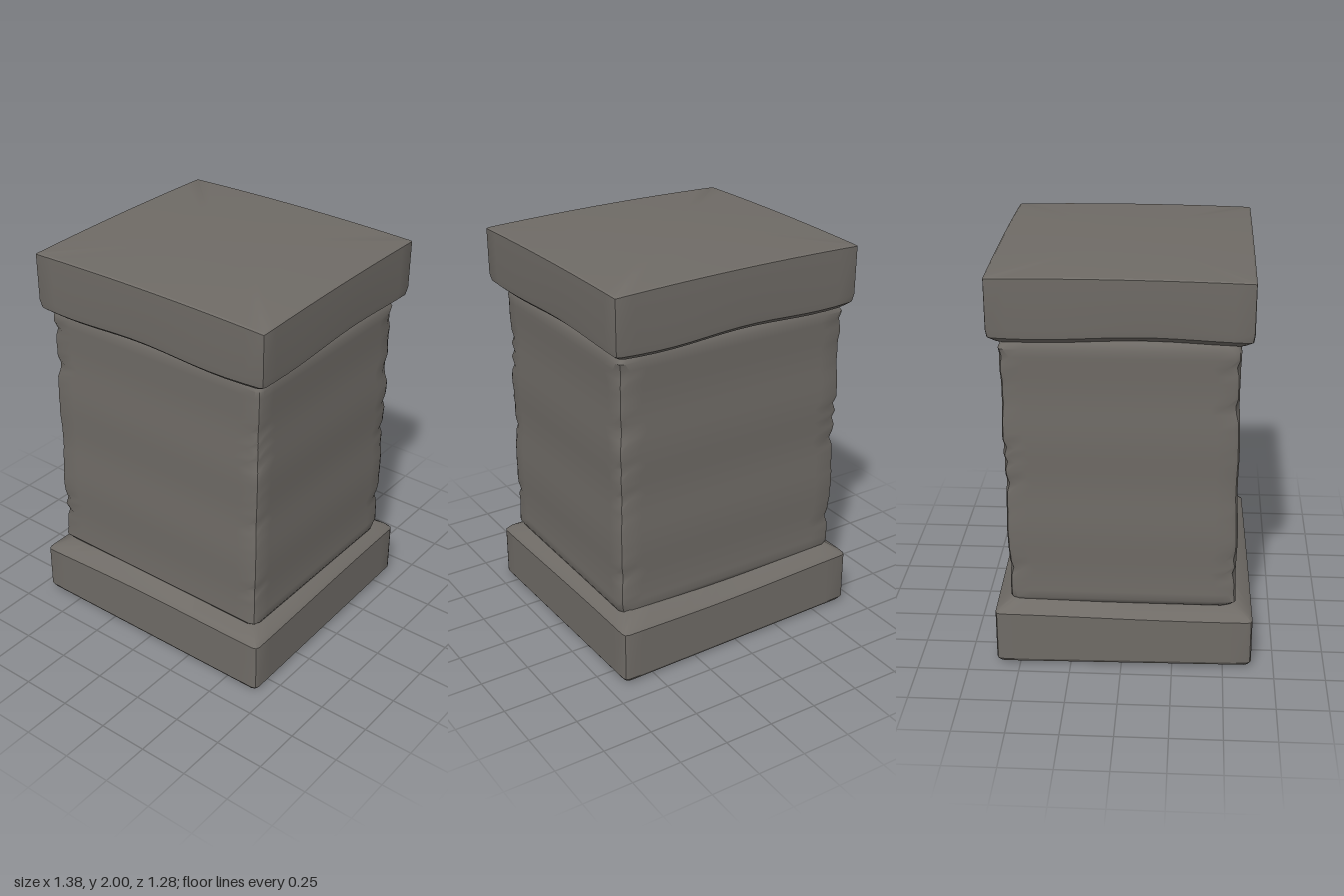
import * as THREE from 'three';
import { toCreasedNormals } from 'three/addons/utils/BufferGeometryUtils.js';

const SEGMENTS = 14; // points along each side of a ring

// Small seeded generator for the chipped edges
function seeded(seed) {
  let s = seed;
  return () => {
    s = (s * 16807) % 2147483647;
    return s / 2147483647;
  };
}

// Four-cornered stone block lofted through levels.
// corners: [x, z] from front left, anticlockwise seen from above.
// level: { y, inset, cuts: corner bevel for each corner, wave(x, z): height offset, lean: z shift }
function stoneBlock(corners, levels, creaseAngle) {
  const position = [];
  const index = [];
  const ringSize = 4 * (SEGMENTS + 2);

  for (const { y, inset = 0, cuts, wave = () => 0, lean = 0 } of levels) {
    const c = corners.map(([x, z]) =>
      new THREE.Vector2(x - Math.sign(x) * inset, z - Math.sign(z) * inset + lean));
    for (let k = 0; k < 4; k++) {
      const a = c[k], b = c[(k + 1) % 4], before = c[(k + 3) % 4];
      const along = b.clone().sub(a).normalize();
      const back = before.clone().sub(a).normalize();
      const start = a.clone().addScaledVector(along, cuts[k]);
      const end = b.clone().addScaledVector(along, -cuts[(k + 1) % 4]);
      // Rounded corner point, then the straight run of the side
      const ring = [a.clone().addScaledVector(along, cuts[k] * 0.29).addScaledVector(back, cuts[k] * 0.29)];
      for (let i = 0; i <= SEGMENTS; i++) ring.push(start.clone().lerp(end, i / SEGMENTS));
      for (const p of ring) position.push(p.x, y + wave(p.x, p.y), p.y);
    }
  }

  // Walls between levels
  for (let l = 0; l < levels.length - 1; l++) {
    for (let j = 0; j < ringSize; j++) {
      const a = l * ringSize + j;
      const b = l * ringSize + ((j + 1) % ringSize);
      index.push(a, b, b + ringSize, a, b + ringSize, a + ringSize);
    }
  }

  // Closing faces
  const first = levels[0], last = levels[levels.length - 1];
  for (const [level, base, up] of [[first, 0, false], [last, (levels.length - 1) * ringSize, true]]) {
    const centre = position.length / 3;
    position.push(0, level.y + (level.wave ? level.wave(0, 0) : 0), 0);
    for (let j = 0; j < ringSize; j++) {
      const a = base + j, b = base + ((j + 1) % ringSize);
      if (up) index.push(centre, a, b);
      else index.push(centre, b, a);
    }
  }

  const geometry = new THREE.BufferGeometry();
  geometry.setAttribute('position', new THREE.Float32BufferAttribute(position, 3));
  geometry.setIndex(index);
  return toCreasedNormals(geometry, creaseAngle);
}

export function createModel() {
  const group = new THREE.Group();
  group.name = 'stonePedestal';
  const stone = new THREE.MeshStandardMaterial({ color: 0x6f6b66 });
  stone.name = 'grey stone';

  const add = (name, geometry) => {
    const mesh = new THREE.Mesh(geometry, stone);
    mesh.name = name;
    group.add(mesh);
  };
  const even = (r) => [r, r, r, r];

  // Plinth: upright sides and a sloping, uneven shoulder
  const floorTilt = (x, z) => 0.013 - 0.013 * (x / 0.69) * (0.5 + 0.5 * z / 0.64);
  const shoulder = (x, z) => 0.012 * Math.sin(4 * x + 3 * z) - 0.008 * z;
  add('plinth', stoneBlock(
    [[-0.685, 0.64], [0.685, 0.615], [0.67, -0.64], [-0.69, -0.615]],
    [
      { y: 0, inset: 0.012, cuts: even(0.025), wave: floorTilt },
      { y: 0.018, cuts: even(0.025), wave: floorTilt },
      { y: 0.278, cuts: even(0.025), wave: (x, z) => 0.5 * shoulder(x, z) },
      { y: 0.295, inset: 0.015, cuts: even(0.025), wave: (x, z) => 0.5 * shoulder(x, z) },
      { y: 0.335, inset: 0.085, cuts: even(0.03), wave: shoulder },
      { y: 0.335, inset: 0.14, cuts: even(0.03), wave: shoulder },
    ], 0.5));

  // Shaft: worn corners with random nicks, rounded at both ends
  const random = seeded(41);
  const shaftLevels = [
    { y: 0.30, inset: 0.05, cuts: even(0.05) },
    { y: 0.325, inset: 0.014, cuts: even(0.045) },
  ];
  const steps = 34;
  for (let i = 0; i <= steps; i++) {
    const t = i / steps;
    const nick = () => 0.022 + 0.012 * random() + (random() > 0.84 ? 0.03 : 0);
    shaftLevels.push({
      y: 0.35 + 1.29 * t,
      inset: 0.003 * Math.sin(t * 17),
      cuts: [nick(), nick(), nick(), nick()],
      lean: 0.006 - 0.014 * t,
    });
  }
  shaftLevels.push(
    { y: 1.67, inset: 0.008, cuts: even(0.045), lean: -0.008 },
    { y: 1.69, inset: 0.026, cuts: even(0.05), lean: -0.008 },
    { y: 1.715, inset: 0.06, cuts: even(0.05), lean: -0.008 });
  add('shaft', stoneBlock(
    [[-0.627, 0.55], [0.627, 0.55], [0.627, -0.55], [-0.627, -0.55]], shaftLevels, 0.7));

  // Capstone: crisp top, chamfered wavy underside
  const underside = (x, z) => 0.009 * Math.sin(7 * x + 1.8) + 0.009 * Math.cos(6 * z + x);
  const crown = (x, z) => -0.012 * (x / 0.67) ** 2 - 0.008 * (z / 0.6) ** 2 - 0.006 * (z / 0.6 + 1) / 2;
  add('capstone', stoneBlock(
    [[-0.65, 0.6], [0.69, 0.605], [0.672, -0.61], [-0.65, -0.61]],
    [
      { y: 1.69, inset: 0.12, cuts: even(0.03), wave: underside },
      { y: 1.683, inset: 0.035, cuts: even(0.03), wave: underside },
      { y: 1.708, inset: 0.004, cuts: even(0.02), wave: underside },
      { y: 1.74, cuts: even(0.01), wave: (x, z) => 0.5 * underside(x, z) },
      { y: 1.995, cuts: even(0.006), wave: crown },
      { y: 2.0, inset: 0.008, cuts: even(0.006), wave: crown },
      { y: 2.003, inset: 0.3, cuts: even(0.006), wave: crown },
    ], 0.5));

  return group;
}
